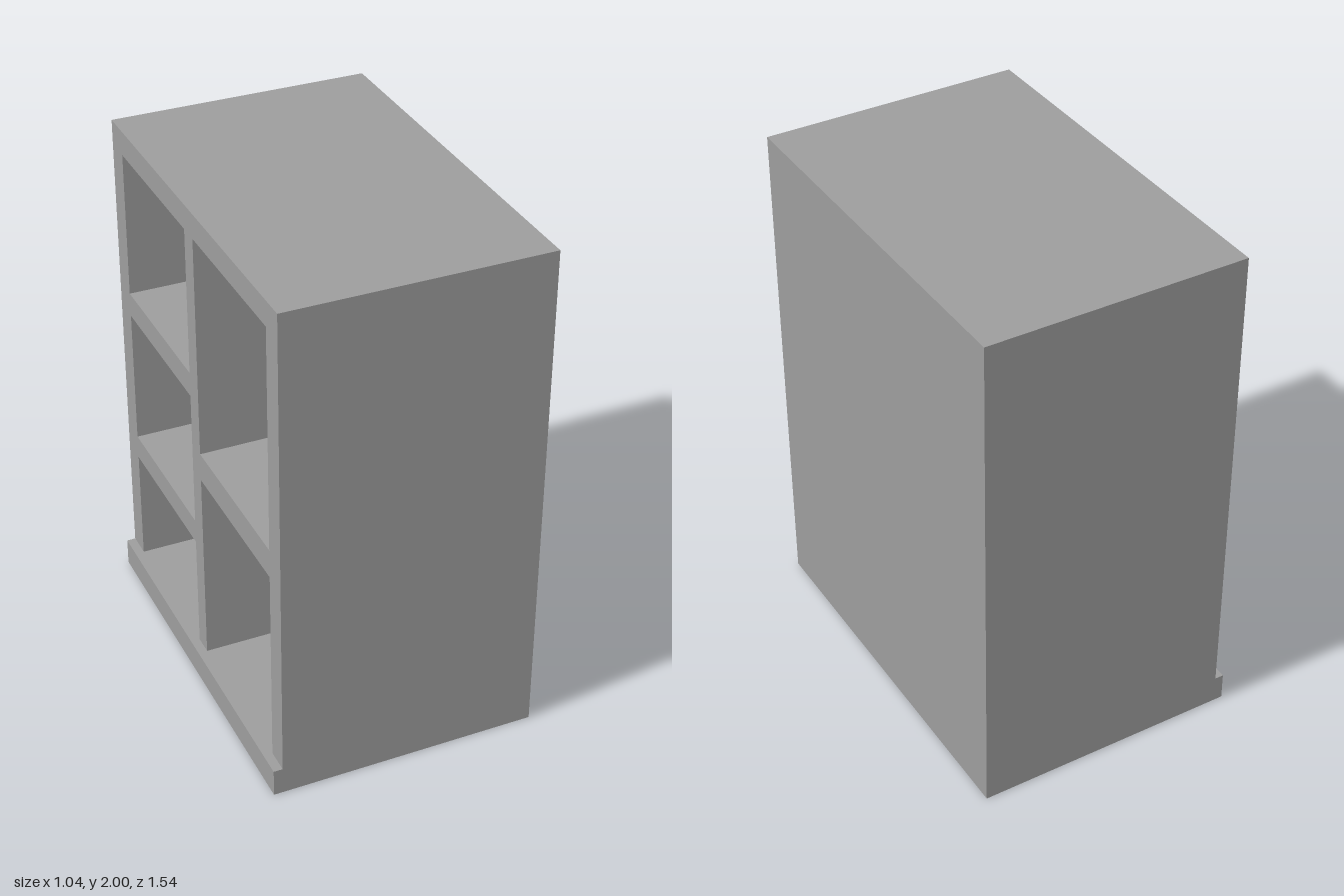
import * as THREE from 'three';

const material = new THREE.MeshStandardMaterial({ color: 0x9d9d9d });

// Box given by its [min, max] range on each axis
function panel(name, [x0, x1], [y0, y1], [z0, z1]) {
  const mesh = new THREE.Mesh(new THREE.BoxGeometry(x1 - x0, y1 - y0, z1 - z0), material);
  mesh.name = name;
  mesh.position.set((x0 + x1) / 2, (y0 + y1) / 2, (z0 + z1) / 2);
  return mesh;
}

export function createModel() {
  const group = new THREE.Group();
  group.name = 'shelfCabinet';

  const W = 0.522, D = 0.768, H = 2;         // half width, half depth, height
  const base = 0.11, top = 1.903;            // upper face of plinth, underside of top board
  const depth = [-0.487, 0.42];              // open side to inner face of the back panel
  const rearColumn = [-0.667, -0.044];
  const frontColumn = [0.034, 0.674];

  // Plinth, projecting as a lip below the open side
  group.add(panel('plinth', [-W, W], [0, base], [-D, D]));

  // Carcass
  group.add(panel('backPanel', [depth[1], W], [base, H], [-D, D]));
  group.add(panel('topBoard', depth, [top, H], [-D, D]));
  group.add(panel('frontWall', depth, [base, top], [frontColumn[1], D]));
  group.add(panel('rearWall', depth, [base, top], [-D, rearColumn[0]]));
  group.add(panel('divider', depth, [base, top], [rearColumn[1], frontColumn[0]]));

  // Two shelves in the rear column, one in the front column
  for (const y of [[0.577, 0.674], [1.226, 1.323]]) {
    group.add(panel('rearShelf', depth, y, rearColumn));
  }
  group.add(panel('frontShelf', depth, [0.907, 1.021], frontColumn));

  return group;
}
